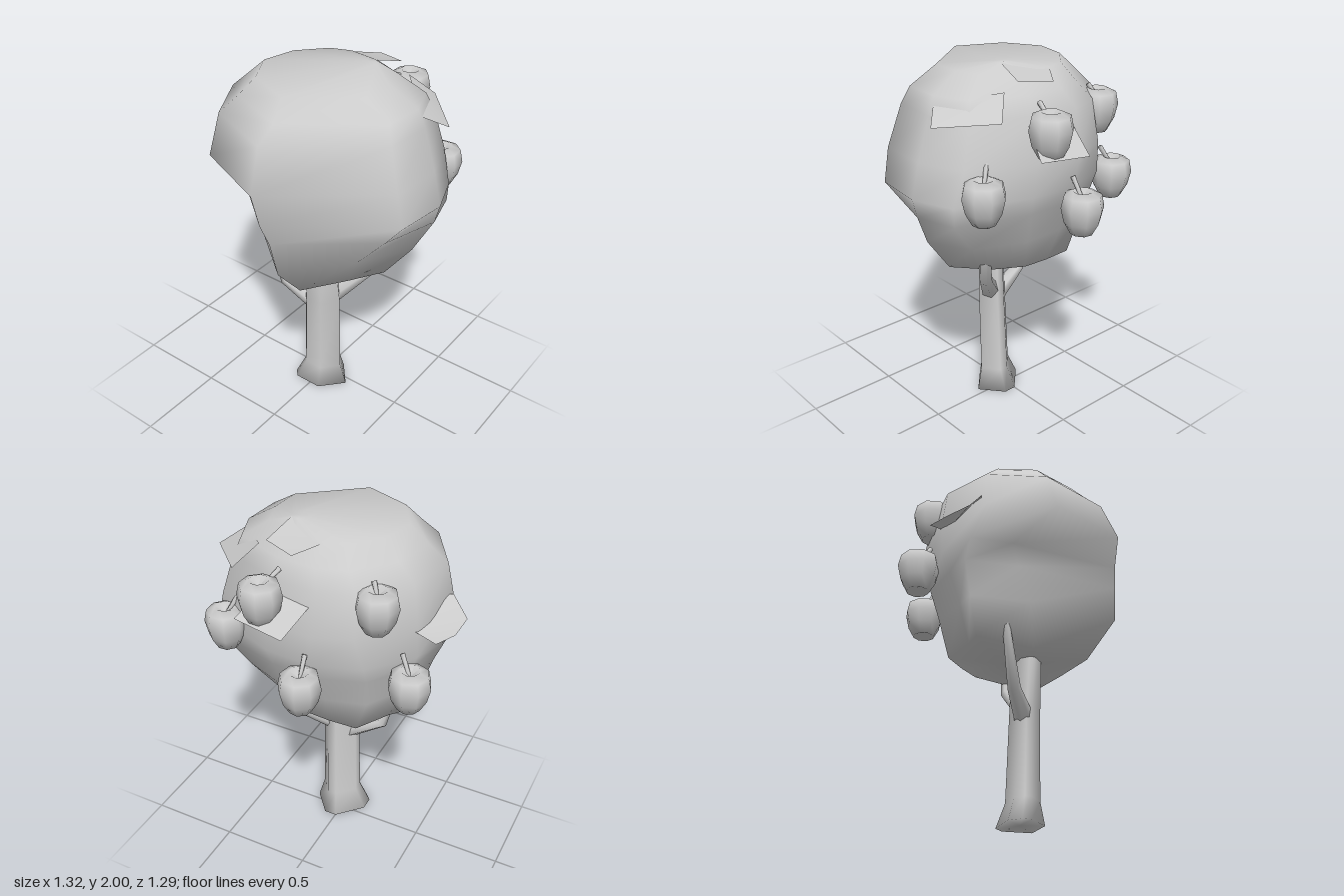
import * as THREE from 'three';

const grey = new THREE.MeshStandardMaterial({ color: 0xcccccc });
const sheet = new THREE.MeshStandardMaterial({ color: 0xcccccc, side: THREE.DoubleSide });
const V = (x, y, z) => new THREE.Vector3(x, y, z);

function mesh(name, geometry, material = grey) {
  const m = new THREE.Mesh(geometry, material);
  m.name = name;
  return m;
}

// Skin a stack of rings (each a loop of points) and close both ends
function loft(rings) {
  const n = rings[0].length;
  const points = rings.flat();
  const index = [];
  for (let i = 0; i < rings.length - 1; i++) {
    for (let j = 0; j < n; j++) {
      const a = i * n + j, b = i * n + (j + 1) % n;
      index.push(a, a + n, b, b, a + n, b + n);
    }
  }
  const last = (rings.length - 1) * n;
  const bottom = points.length, top = bottom + 1;
  for (const ring of [rings[0], rings[rings.length - 1]]) {
    points.push(ring.reduce((s, p) => s.add(p), V(0, 0, 0)).divideScalar(n));
  }
  for (let j = 0; j < n; j++) {
    const k = (j + 1) % n;
    index.push(bottom, j, k, top, last + k, last + j);
  }
  const g = new THREE.BufferGeometry().setFromPoints(points);
  g.setIndex(index);
  g.computeVertexNormals();
  return g;
}

// Level rings: one unit outline fitted to [y, xMin, xMax, zMin, zMax]
const levels = (outline, list) => list.map(([y, x0, x1, z0, z1]) =>
  outline.map(([u, v]) => V((x0 + x1 + u * (x1 - x0)) / 2, y, (z0 + z1 + v * (z1 - z0)) / 2)));

const circle = (n) => Array.from({ length: n }, (_, i) => {
  const a = (i / n) * Math.PI * 2;
  return [Math.cos(a), Math.sin(a)];
});

// Tapered limb along a path, mitred at the bends
function limb(path, radii, sides) {
  return loft(path.map((p, i) => {
    const before = path[Math.max(i - 1, 0)], after = path[Math.min(i + 1, path.length - 1)];
    const dir = after.clone().sub(before).normalize();
    const q = new THREE.Quaternion().setFromUnitVectors(V(0, 1, 0), dir);
    return circle(sides).map(([u, v]) =>
      V(u * radii[i], 0, v * radii[i]).applyQuaternion(q).add(p));
  }));
}

// Flat leaf flap, drawn as a fan
function flap(corners) {
  const g = new THREE.BufferGeometry().setFromPoints(corners.map((c) => V(...c)));
  const index = [];
  for (let i = 1; i < corners.length - 1; i++) index.push(0, i, i + 1);
  g.setIndex(index);
  g.computeVertexNormals();
  return g;
}

export function createModel() {
  const tree = new THREE.Group();
  tree.name = 'appleTree';

  // Trunk with flared foot, irregular in section
  const trunkOutline = [[1, 0], [0.25, 1], [-0.77, 1], [-1, 0.72], [-1, 0.08], [-0.15, -1], [0.31, -1]];
  tree.add(mesh('trunk', loft(levels(trunkOutline, [
    [0, -0.13, 0.175, -0.085, 0.165],
    [0.13, -0.07, 0.14, -0.04, 0.14],
    [0.62, -0.055, 0.14, -0.02, 0.145],
    [1.0, -0.04, 0.11, 0.0, 0.165],
  ]))));

  // Two bent branches
  tree.add(mesh('rightBranch', limb(
    [V(0.05, 0.54, 0.075), V(-0.2, 0.66, 0.12), V(-0.285, 0.95, 0.12), V(-0.31, 1.05, 0.12)],
    [0.06, 0.035, 0.022, 0.02], 6)));
  tree.add(mesh('leftBranch', limb(
    [V(0.06, 0.62, 0.06), V(0.265, 0.84, -0.15), V(0.29, 1.08, -0.17)],
    [0.055, 0.037, 0.03], 6)));

  // Crown: lopsided underside, tucked in below the front right corner
  const underside = [
    [0.9, [0.39, 0], [0.28, 0.18], [0.13, 0.4], [-0.13, 0.2], [-0.4, 0],
      [-0.33, -0.08], [-0.22, -0.265], [-0.06, -0.27], [0.08, -0.26], [0.24, -0.17]],
    [1.1, [0.54, -0.02], [0.38, 0.25], [0.13, 0.57], [-0.27, 0.25], [-0.47, 0],
      [-0.4, -0.1], [-0.29, -0.29], [-0.08, -0.35], [0.15, -0.35], [0.43, -0.24]],
    [1.28, [0.63, -0.07], [0.54, 0.24], [0.1, 0.59], [-0.35, 0.22], [-0.53, 0],
      [-0.46, -0.13], [-0.31, -0.34], [-0.08, -0.42], [0.18, -0.41], [0.57, -0.29]],
    [1.38, [0.655, -0.07], [0.62, 0.22], [0.06, 0.61], [-0.42, 0.22], [-0.57, 0.05],
      [-0.5, -0.16], [-0.31, -0.38], [-0.06, -0.46], [0.2, -0.44], [0.575, -0.29]],
  ].map(([y, ...ring]) => ring.map(([x, z]) => V(x, y, z)));
  // Crown: domed upper part
  const outline = [[1, -0.27], [0.96, 0.25], [0.04, 1], [-0.69, 0.68], [-1, 0.1],
    [-0.88, -0.45], [-0.5, -0.88], [-0.17, -1], [0.28, -0.96], [0.85, -0.7]];
  const dome = levels(outline, [
    [1.56, -0.57, 0.61, -0.48, 0.645],
    [1.78, -0.53, 0.54, -0.43, 0.56],
    [1.87, -0.43, 0.5, -0.37, 0.475],
    [1.96, -0.33, 0.35, -0.28, 0.38],
    [2.0, 0.1, 0.2, -0.18, -0.08],
  ]);
  tree.add(mesh('crown', loft([...underside, ...dome])));

  // Leaf flaps lifting off the crown
  const flaps = {
    sideFlap: [[-0.43, 1.56, -0.18], [-0.6, 1.5, -0.18], [-0.65, 1.49, -0.05],
      [-0.66, 1.51, 0.09], [-0.57, 1.62, 0.11], [-0.45, 1.62, 0.05]],
    topFlap: [[-0.06, 1.96, -0.26], [0.05, 1.93, -0.41], [0.22, 1.945, -0.35], [0.18, 2.0, -0.17]],
    shoulderFlap: [[0.28, 1.9, -0.32], [0.38, 1.79, -0.42], [0.61, 1.76, -0.18], [0.51, 1.83, -0.07]],
    backFlap: [[-0.06, 1.71, -0.43], [0, 1.6, -0.62], [0.28, 1.62, -0.58], [0.2, 1.74, -0.4]],
  };
  for (const [name, corners] of Object.entries(flaps)) tree.add(mesh(name, flap(corners), sheet));

  // Apples at the back: [x, y, z, stem lean, stem rise]
  const profile = [[0, -0.09], [0.06, -0.115], [0.095, -0.05], [0.112, 0.025],
    [0.098, 0.09], [0.05, 0.112], [0, 0.075]].map(([r, y]) => new THREE.Vector2(r, y));
  const fruit = new THREE.LatheGeometry(profile, 8);
  const spots = [[-0.52, 1.28, -0.29, 0.07, 0.17], [-0.35, 1.7, -0.32, 0.05, 0.13],
    [-0.045, 1.275, -0.54, 0.07, 0.17], [0.165, 1.72, -0.52, 0.13, 0.12],
    [0.465, 1.42, -0.385, 0.07, 0.165]];
  spots.forEach(([x, y, z, lean, rise], i) => {
    const apple = new THREE.Group();
    apple.name = 'apple' + (i + 1);
    apple.position.set(x, y, z);
    const body = mesh('fruit', fruit);
    body.rotation.y = i * 0.9;
    const tip = V(-x, 0, -z).setLength(lean).setY(rise);
    apple.add(body, mesh('stem', limb([V(0, 0.06, 0), tip], [0.01, 0.014], 5)));
    tree.add(apple);
  });

  return tree;
}
